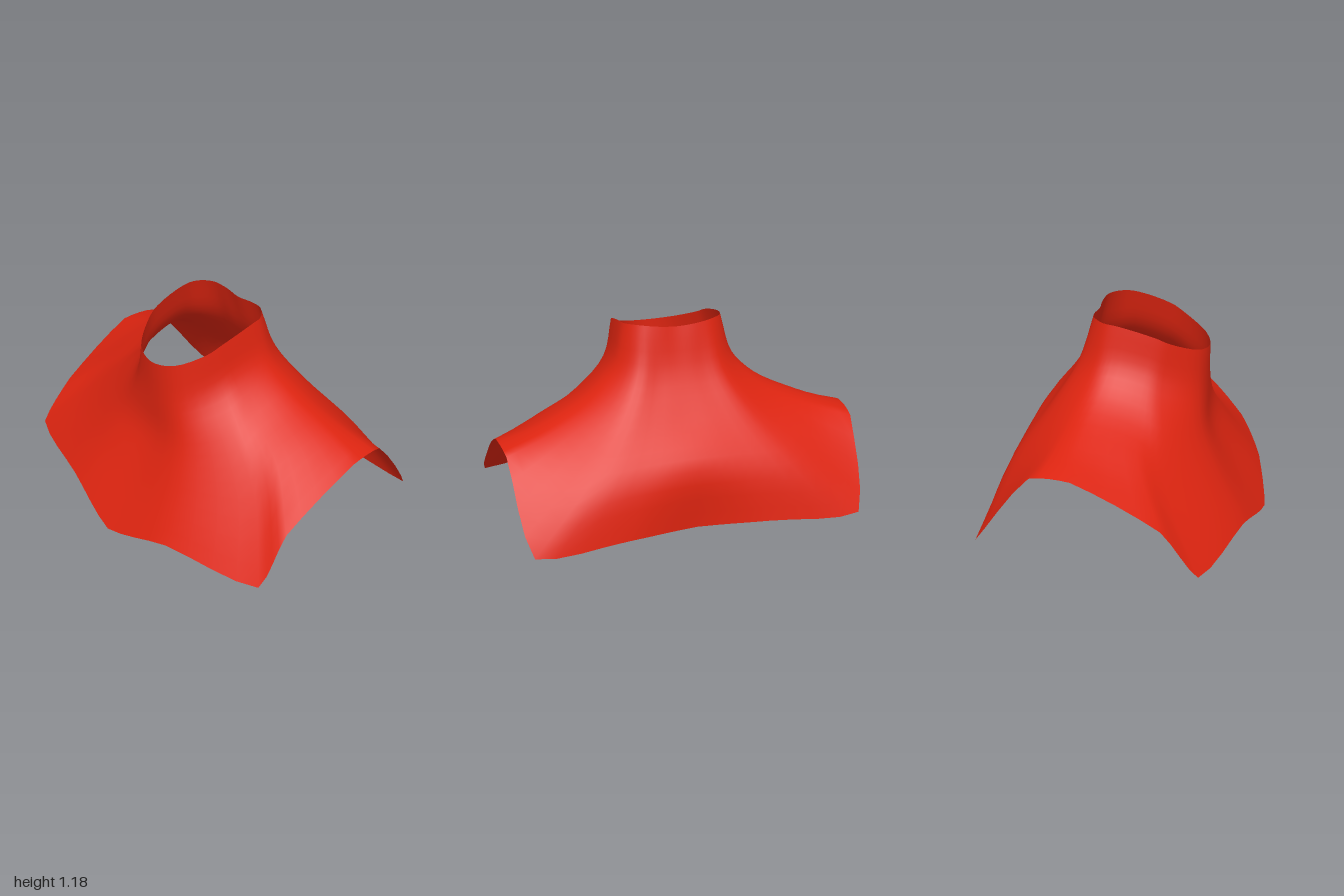
import * as THREE from 'three';

// Left-half profiles, from front centre round the shoulder to back centre.
// Each runs neck rim -> neck base -> shoulder -> outer -> hem as [x, y, z].
const halfProfiles = [
  [[0, .985, .385], [0, .75, .385], [0, .54, .405], [0, .33, .51], [0, 0, .73]],
  [[.14, 1.005, .34], [.18, .78, .35], [.26, .58, .385], [.34, .38, .48], [.42, .11, .65]],
  [[.25, 1.07, .2], [.31, .86, .17], [.47, .67, .2], [.72, .43, .27], [.99, .1, .48]],
  [[.275, 1.11, .12], [.33, .91, .08], [.48, .74, .07], [.73, .57, .12], [.98, .34, .28]],
  [[.285, 1.165, -.08], [.345, .95, -.11], [.49, .8, -.15], [.76, .67, -.19], [1, .59, -.18]],
  [[.27, 1.172, -.16], [.335, .93, -.21], [.49, .77, -.28], [.74, .65, -.34], [.98, .58, -.4]],
  [[.2, 1.175, -.225], [.24, .92, -.31], [.37, .7, -.44], [.6, .45, -.61], [.91, .14, -.73]],
  [[.11, 1.165, -.245], [.12, .91, -.32], [.18, .69, -.46], [.28, .46, -.63], [.4, .15, -.705]],
  [[0, 1.155, -.24], [0, .91, -.32], [0, .69, -.46], [0, .47, -.63], [0, .14, -.64]],
];

function capeGeometry(rows = 16, steps = 4) {
  // Mirror the half into a closed loop of profile curves
  const mirrored = halfProfiles.slice(1, -1).reverse()
    .map(profile => profile.map(([x, y, z]) => [-x, y, z]));
  const curves = [...halfProfiles, ...mirrored].map(profile =>
    new THREE.CatmullRomCurve3(profile.map(p => new THREE.Vector3(...p))));
  const spokes = curves.length, columns = spokes * steps;
  const positions = [], index = [];

  for (let j = 0; j <= rows; j++) {
    const v = j / rows;
    const points = curves.map(curve => curve.getPoint(v));
    const ring = new THREE.CatmullRomCurve3(points, true);
    for (let i = 0; i < columns; i++) {
      // Rings are round at the neck and straighten partly towards the cut hem
      const k = Math.floor(i / steps);
      const straight = points[k].clone().lerp(points[(k + 1) % spokes], (i % steps) / steps);
      positions.push(...ring.getPoint(i / columns).lerp(straight, 0.5 * v ** 4).toArray());
      if (j === rows) continue;
      const a = j * columns + i, c = j * columns + (i + 1) % columns;
      index.push(a, a + columns, c, c, a + columns, c + columns);
    }
  }
  const geometry = new THREE.BufferGeometry();
  geometry.setAttribute('position', new THREE.Float32BufferAttribute(positions, 3));
  geometry.setIndex(index);
  geometry.computeVertexNormals();
  return geometry;
}

export function createModel() {
  const group = new THREE.Group();
  group.name = 'shoulderCape';

  const redCloth = new THREE.MeshStandardMaterial({ color: 0xdc2410, side: THREE.DoubleSide });
  redCloth.name = 'redCloth';

  // One open sheet of cloth: standing collar flowing into the shoulders
  const cape = new THREE.Mesh(capeGeometry(), redCloth);
  cape.name = 'collarAndShoulders';
  group.add(cape);
  return group;
}
